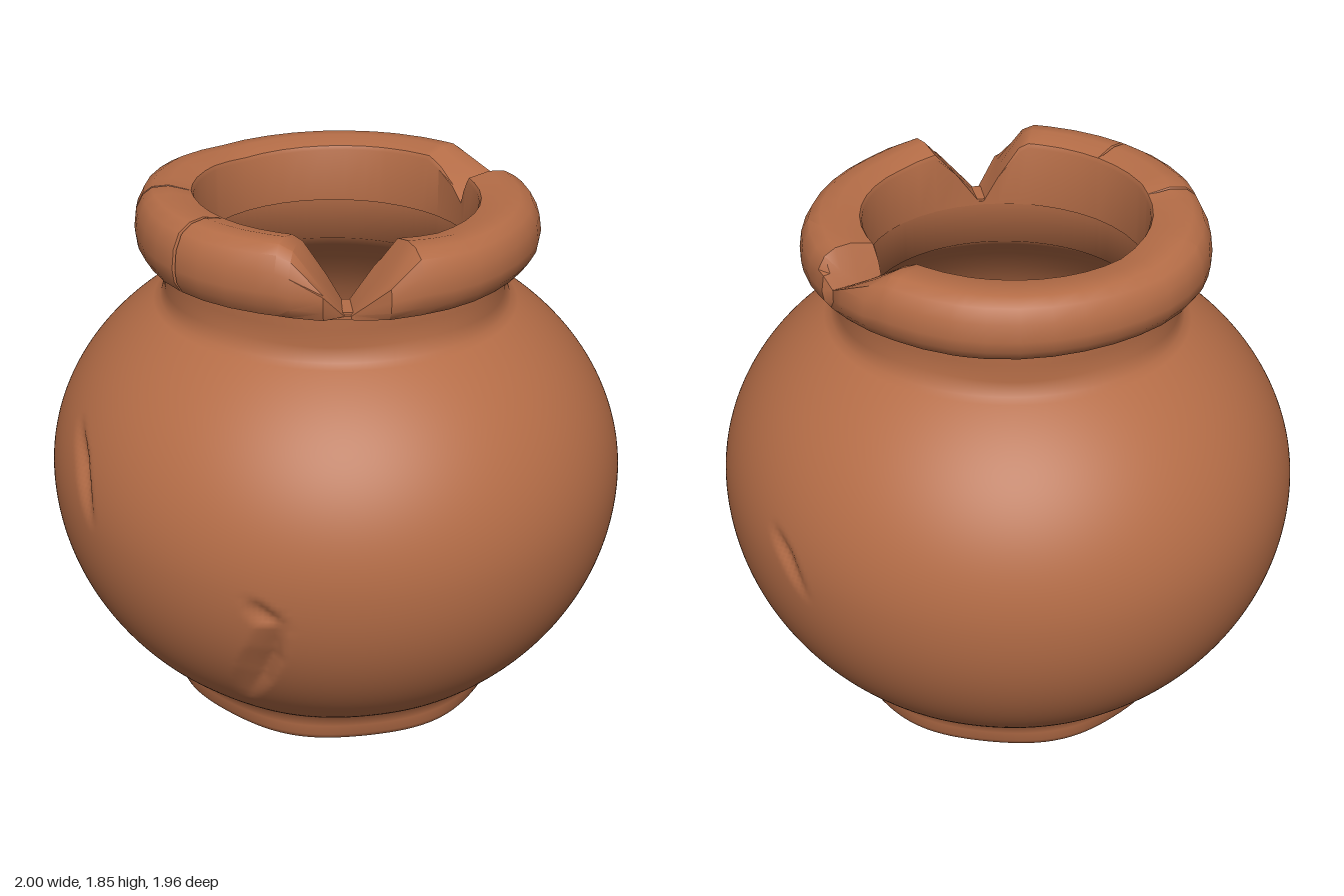
import * as THREE from 'three';
import { toCreasedNormals } from 'three/addons/utils/BufferGeometryUtils.js';

const RAD = Math.PI / 180;

// Sweep a profile around the y axis; pointAt(deg, k) gives [radius, height].
function sweep(degs, count, pointAt, closed, crease) {
  const pos = [], index = [], n = degs.length;
  for (const deg of degs) {
    for (let k = 0; k < count; k++) {
      const [r, y] = pointAt(deg, k);
      pos.push(r * Math.cos(deg * RAD), y, r * Math.sin(deg * RAD) * 0.98);
    }
  }
  for (let i = 0; i < n; i++) {
    const j = (i + 1) % n;
    for (let k = 0; k < (closed ? count : count - 1); k++) {
      const m = (k + 1) % count;
      const a = i * count + k, b = i * count + m, c = j * count + k, d = j * count + m;
      index.push(a, b, c, c, b, d);
    }
  }
  const g = new THREE.BufferGeometry();
  g.setAttribute('position', new THREE.Float32BufferAttribute(pos, 3));
  g.setIndex(index);
  return toCreasedNormals(g, crease);
}

// Piecewise-linear lookup in a table of [angle, value]
function lookup(table, a) {
  for (let i = 1; i < table.length; i++) {
    const [a0, v0] = table[i - 1], [a1, v1] = table[i];
    if (a <= a1) return v0 + (v1 - v0) * (a - a0) / (a1 - a0);
  }
  return table[table.length - 1][1];
}

// Scratches on the belly: side (+1 front, -1 back), path in x and y, widths, depth
const scratches = [
  { side: 1, pts: [[-0.3, 1.12], [-0.2, 1.04], [-0.15, 0.97], [-0.09, 0.87]], left: 0.035, right: 0.05, depth: 0.028 },
  { side: 1, pts: [[0.4, 0.33], [0.5, 0.46], [0.57, 0.58], [0.62, 0.73]], left: 0.075, right: 0.035, depth: 0.04 },
  { side: 1, pts: [[0.54, 0.8], [0.58, 0.75], [0.63, 0.71]], left: 0.035, right: 0.05, depth: 0.025 },
  { side: -1, pts: [[0.17, 0.96], [0.09, 0.89], [0, 0.78]], left: 0.035, right: 0.045, depth: 0.022 },
];

function scratchDepth(x, y, z) {
  let best = 0;
  for (const s of scratches) {
    if (z * s.side < 0) continue;
    const n = s.pts.length - 1;
    for (let i = 0; i < n; i++) {
      const [x0, y0] = s.pts[i], [x1, y1] = s.pts[i + 1];
      const dx = x1 - x0, dy = y1 - y0;
      const t = THREE.MathUtils.clamp(((x - x0) * dx + (y - y0) * dy) / (dx * dx + dy * dy), 0, 1);
      const dist = Math.hypot(x - x0 - t * dx, y - y0 - t * dy);
      const onLeft = dx * (y - y0) - dy * (x - x0) > 0;
      const taper = Math.sin(Math.PI * (0.05 + 0.9 * (i + t) / n));
      const w = (onLeft ? s.left : s.right) * (0.6 + 0.4 * taper);
      best = Math.max(best, s.depth * taper * (1 - dist / w));
    }
  }
  return best;
}

// Belly radius at a height
function bellyRadius(y) {
  const h = (y - 0.82) / (y < 0.82 ? 0.888 : 0.787);
  return Math.sqrt(1 - h * h);
}

// Belly, foot, neck and hollow inside in one profile
function bodyGeometry() {
  const prof = [[0.001, 0.01], [0.54, 0.006], [0.56, 0.005], [0.58, 0.012], [0.588, 0.03], [0.595, 0.07]];
  const bellyStart = prof.length, rows = 90;
  for (let i = 0; i <= rows; i++) {
    const y = 0.11 + 1.34 * i / rows;
    prof.push([bellyRadius(y), y]);
  }
  const bellyEnd = prof.length;
  prof.push([0.592, 1.5], [0.594, 1.56], [0.594, 1.62], [0.485, 1.62], [0.485, 1.45]);
  for (let i = 0; i <= 14; i++) {
    const y = 1.38 - 1.22 * i / 14;
    prof.push([bellyRadius(y) - 0.1, y]);
  }
  prof.push([0.48, 0.12], [0.001, 0.12]);

  const degs = Array.from({ length: 360 }, (_, i) => i);
  return sweep(degs, prof.length, (deg, k) => {
    let [r, y] = prof[k];
    const a = deg * RAD;
    if (k >= bellyStart && k < bellyEnd) {
      r -= scratchDepth(r * Math.cos(a), y, r * Math.sin(a));
    }
    // Hand-worked unevenness at the foot and neck
    if (k > 0 && k < bellyEnd && y < 0.25) r += 0.006 * Math.sin(7 * a + 1) * (1 - y / 0.25);
    if (k >= bellyEnd && k < bellyEnd + 3) r -= 0.006 + 0.006 * Math.sin(6 * a);
    return [r, y];
  }, false, 1.1);
}

// Thick broken rim: uneven top, two chipped notches and two cracks
const rimTop = [[-180, 1.81], [-120, 1.82], [-96, 1.825], [-74, 1.69], [-69, 1.81], [0, 1.815], [18, 1.83],
  [37, 1.612], [39, 1.612], [54, 1.83], [58, 1.85], [120, 1.845], [128, 1.835], [160, 1.825], [180, 1.81]];
const cracks = [90, 127];

function rimGeometry() {
  const prof = [[0.56, 1.6], [0.61, 1.602], [0.655, 1.622], [0.678, 1.66], [0.684, 1.705], [0.676, 1.77],
    [0.652, 1.82], [0.615, 1.845], [0.56, 1.85], [0.485, 1.83], [0.478, 1.815], [0.478, 1.6]];
  const degs = new Set(Array.from({ length: 40 }, (_, i) => -180 + i * 9));
  rimTop.slice(0, -1).forEach(([a]) => degs.add(a));
  cracks.forEach((c) => [-0.6, 0, 0.6].forEach((d) => degs.add(c + d)));
  const sorted = [...degs].sort((a, b) => a - b);
  return sweep(sorted, prof.length, (deg, k) => {
    let [r, y] = prof[k];
    const top = lookup(rimTop, deg);
    const scale = (Math.max(top, 1.8) - 1.6) / 0.25;
    y = Math.min(1.6 + (y - 1.6) * scale, top);
    if (k > 0 && k < 7) r += 0.005 * Math.sin(deg * 5 * RAD);
    // The bulge is broken away where the notch is deepest
    r = Math.min(r, 0.6 + 0.1 * Math.min(1, (top - 1.61) / 0.14));
    if (cracks.includes(deg) && k > 1 && k < 9) {
      r -= 0.018;
      if (k > 5) y -= 0.012;
    }
    return [r, y];
  }, true, 0.6);
}

export function createModel() {
  const clay = new THREE.MeshStandardMaterial({ color: 0xb56d47 });
  clay.name = 'terracotta';
  const pot = new THREE.Group();
  pot.name = 'clayPot';

  const body = new THREE.Mesh(bodyGeometry(), clay);
  body.name = 'body';
  const rim = new THREE.Mesh(rimGeometry(), clay);
  rim.name = 'brokenRim';
  rim.position.x = 0.005;
  pot.add(body, rim);
  return pot;
}
